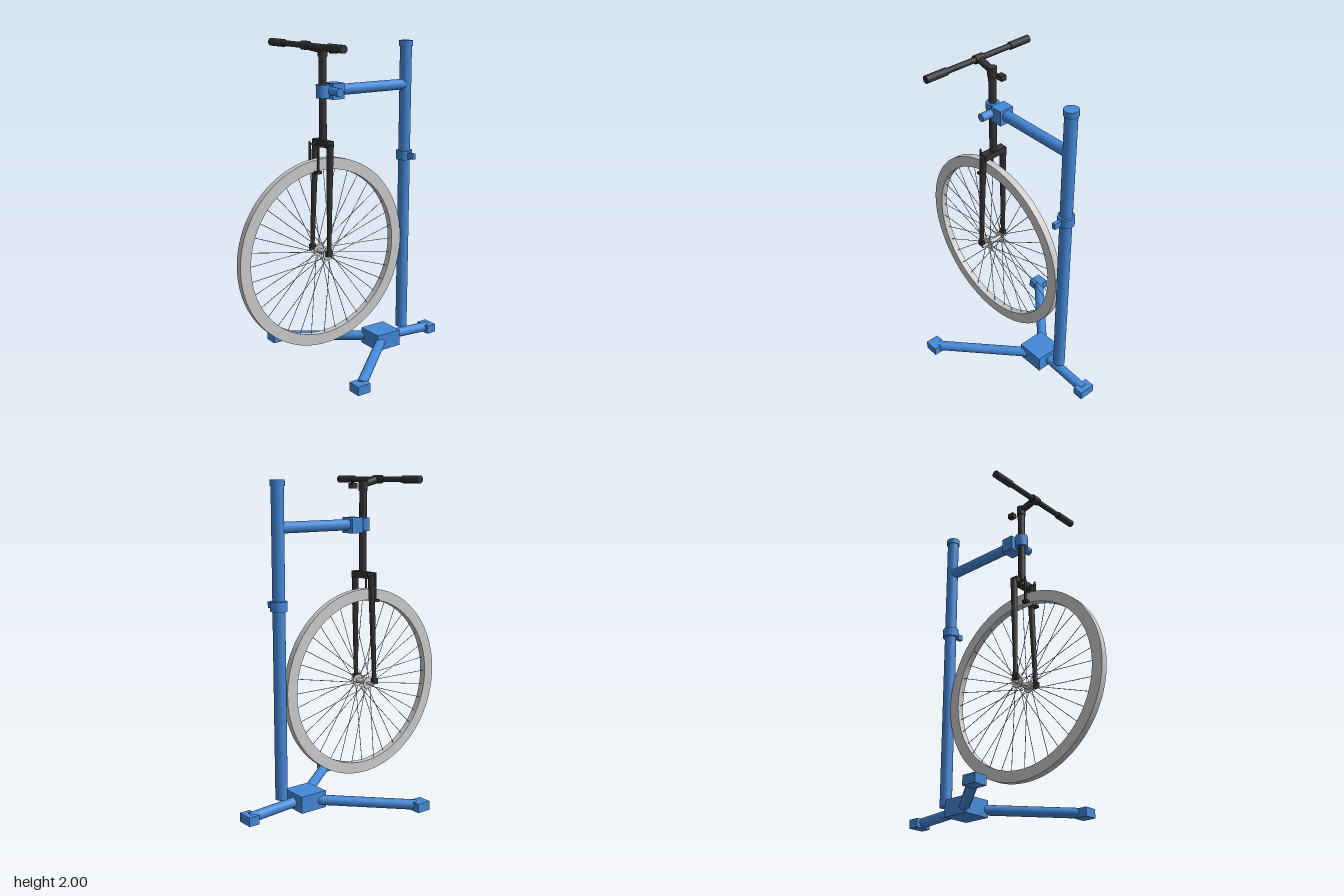
import * as THREE from 'three';

const blue = new THREE.MeshStandardMaterial({ color: 0x4488d8 });
const black = new THREE.MeshStandardMaterial({ color: 0x333333 });
const grey = new THREE.MeshStandardMaterial({ color: 0xcccccc });

export function createModel() {
  const model = new THREE.Group();

  const add = (parent, name, geometry, material) => {
    const mesh = new THREE.Mesh(geometry, material);
    mesh.name = name;
    parent.add(mesh);
    return mesh;
  };
  const group = (name) => {
    const g = new THREE.Group();
    g.name = name;
    model.add(g);
    return g;
  };
  const box = (parent, name, material, size, pos) => {
    const mesh = add(parent, name, new THREE.BoxGeometry(...size), material);
    mesh.position.set(...pos);
    return mesh;
  };
  // Round bar from a to b, optionally tapered
  const rod = (parent, name, material, a, b, ra, rb = ra, sides = 24) => {
    const start = new THREE.Vector3(...a), end = new THREE.Vector3(...b);
    const dir = end.clone().sub(start);
    const mesh = add(parent, name, new THREE.CylinderGeometry(rb, ra, dir.length(), sides), material);
    mesh.position.copy(start).add(end).multiplyScalar(0.5);
    mesh.quaternion.setFromUnitVectors(new THREE.Vector3(0, 1, 0), dir.normalize());
    return mesh;
  };

  // Tripod base
  const base = group('base');
  box(base, 'baseBlock', blue, [0.18, 0.105, 0.178], [0, 0.0625, -0.301]);
  for (const s of [-1, 1]) {
    rod(base, 'frontBaseLeg', blue, [s * 0.05, 0.06, -0.27], [s * 0.455, 0.036, 0.2], 0.031);
    box(base, 'frontFoot', blue, [0.086, 0.055, 0.09], [s * 0.464, 0.0325, 0.214]);
  }
  rod(base, 'rearBaseLeg', blue, [0, 0.06, -0.33], [0, 0.036, -0.7], 0.031);
  box(base, 'rearFoot', blue, [0.104, 0.055, 0.068], [0, 0.0325, -0.702]);

  // Upright post with cap and height lock
  const post = group('post');
  const pz = -0.476;
  rod(post, 'postTube', blue, [0, 0.1, pz], [0, 1.95, pz], 0.037);
  rod(post, 'postCap', blue, [0, 1.94, pz], [0, 1.975, pz], 0.043);
  rod(post, 'heightCollar', blue, [0, 1.232, pz], [0, 1.29, pz], 0.05);
  box(post, 'heightLock', blue, [0.06, 0.037, 0.023], [0.067, 1.261, pz]);

  // Arm and clamp holding the steering tube
  const arm = group('clampArm');
  rod(arm, 'armTube', blue, [0, 1.707, -0.46], [0, 1.707, 0.04], 0.033);
  box(arm, 'clampBlock', blue, [0.096, 0.094, 0.082], [0, 1.704, 0.067]);
  rod(arm, 'clampRing', blue, [0, 1.667, 0.148], [0, 1.746, 0.148], 0.04);
  rod(arm, 'clampKnob', blue, [0, 1.706, 0.108], [0.122, 1.706, 0.108], 0.025);

  // Steering tube, stem and handlebar
  const steering = group('steering');
  const sz = 0.148, by = 1.974, bz = 0.264;
  rod(steering, 'steeringTube', black, [0, 1.4, sz], [0, 1.94, sz], 0.023);
  rod(steering, 'headCollar', black, [0, 1.906, sz], [0, 1.968, sz], 0.028);
  rod(steering, 'lowerCollar', black, [0, 1.385, sz], [0, 1.42, sz], 0.028);
  rod(steering, 'stem', black, [0, 1.945, sz], [0, by, bz], 0.022);
  rod(steering, 'barClamp', black, [-0.03, by, bz], [0.03, by, bz], 0.026);
  rod(steering, 'handlebar', black, [-0.36, by, bz], [0.36, by, bz], 0.017);
  for (const s of [-1, 1])
    rod(steering, 'grip', black, [s * 0.23, by, bz], [s * 0.373, by, bz], 0.023);
  box(steering, 'stemBlock', black, [0.034, 0.032, 0.042], [0, 1.936, 0.069]);

  // Fork: crown and two tapered blades with dropouts
  const fork = group('fork');
  box(fork, 'forkCrown', black, [0.16, 0.038, 0.05], [0, 1.4, sz]);
  for (const s of [-1, 1]) {
    rod(fork, 'forkBlade', black, [s * 0.077, 1.4, 0.15], [s * 0.09, 0.74, 0.17], 0.021, 0.013);
    box(fork, 'dropout', black, [0.022, 0.036, 0.038], [s * 0.09, 0.742, 0.17]);
  }

  // Brake arms in front of the crown
  const brake = group('brake');
  for (const s of [-1, 1]) {
    rod(brake, 'brakePivot', black, [s * 0.045, 1.392, sz], [s * 0.045, 1.392, 0.215], 0.006, 0.006, 10);
    rod(brake, 'brakeArm', black, [s * 0.045, 1.41, 0.213], [s * 0.045, 1.235, 0.213], 0.007, 0.007, 10);
    box(brake, 'brakePad', black, [0.03, 0.016, 0.034], [s * 0.045, 1.238, 0.215]);
  }

  // Wheel, centred on its own hub
  const wheel = group('wheel');
  wheel.position.set(0, 0.725, 0.15);
  const ring = new THREE.Shape().absarc(0, 0, 0.587, 0, Math.PI * 2, false);
  ring.holes.push(new THREE.Path().absarc(0, 0, 0.518, 0, Math.PI * 2, true));
  const rim = new THREE.ExtrudeGeometry(ring, { depth: 0.042, bevelEnabled: false, curveSegments: 64 });
  rim.translate(0, 0, -0.021).rotateY(Math.PI / 2);
  add(wheel, 'tyreAndRim', rim, grey);
  rod(wheel, 'axle', grey, [-0.1, 0, 0], [0.1, 0, 0], 0.009);
  rod(wheel, 'hub', grey, [-0.055, 0, 0], [0.055, 0, 0], 0.016);
  for (const s of [-1, 1])
    rod(wheel, 'hubFlange', grey, [s * 0.047, 0, 0], [s * 0.053, 0, 0], 0.036);

  // Spokes alternate between the flanges and lean slightly either way
  const count = 36;
  for (let i = 0; i < count; i++) {
    const t = (i / count) * Math.PI * 2;
    const side = i % 2 ? 1 : -1;
    const h = t + (i % 4 < 2 ? 0.5 : -0.5);
    rod(wheel, 'spoke', grey,
      [side * 0.05, Math.sin(h) * 0.03, Math.cos(h) * 0.03],
      [side * 0.004, Math.sin(t) * 0.522, Math.cos(t) * 0.522], 0.002, 0.002, 6);
  }

  return model;
}
